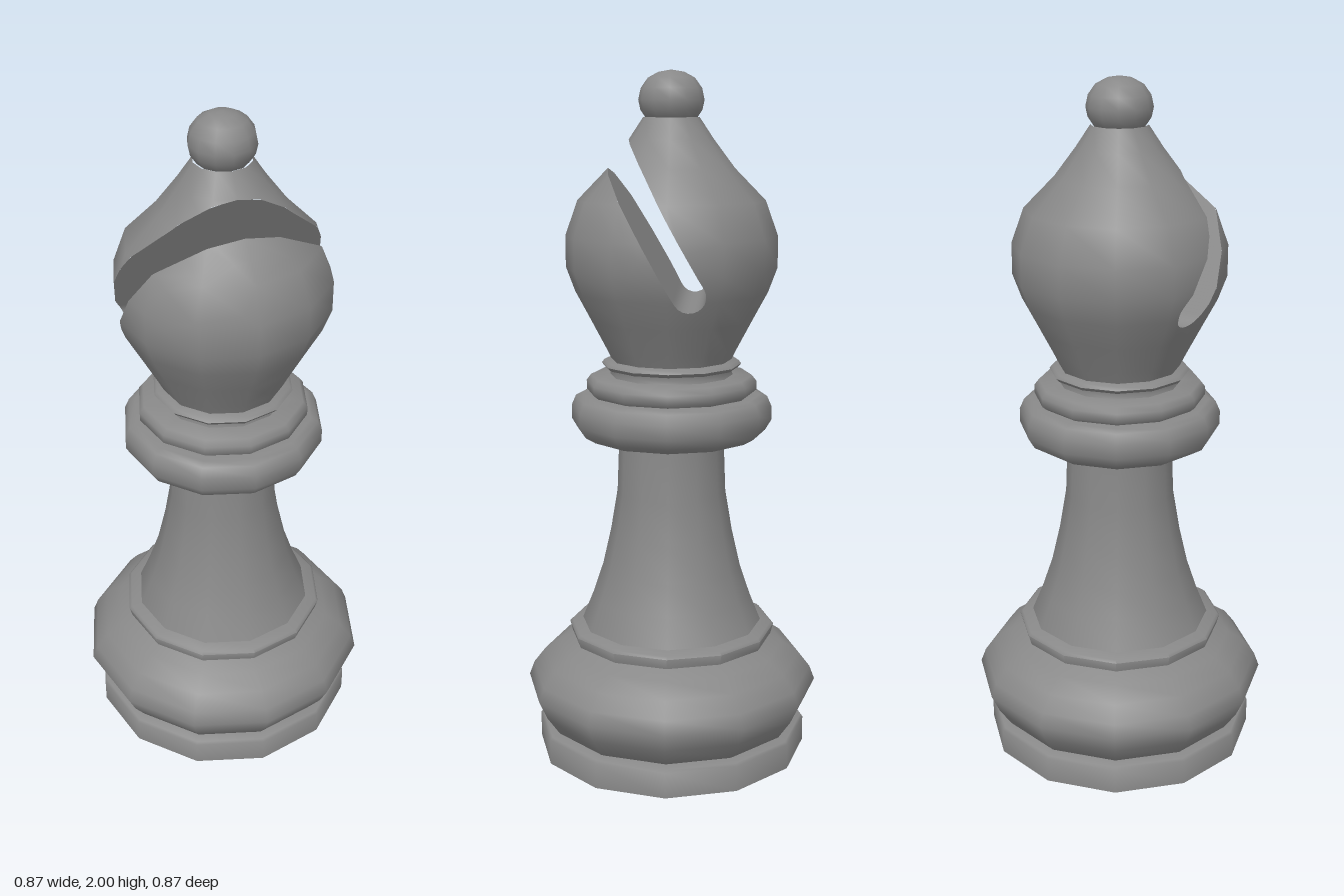
import * as THREE from 'three';
import { toCreasedNormals } from 'three/addons/utils/BufferGeometryUtils.js';

const SIDES = 12;
const grey = new THREE.MeshStandardMaterial({ color: 0x888888 });
grey.name = 'grey';

// Crease at a larger scale so that small mouldings are not merged.
function crease(geometry, angle) {
  geometry.scale(100, 100, 100);
  const g = toCreasedNormals(geometry, angle);
  return g.scale(0.01, 0.01, 0.01);
}

// Turned part from [radius, height] pairs, listed bottom to top.
function turned(profile, angle = 1.15) {
  const points = profile.map(([r, y]) => new THREE.Vector2(r, y));
  return crease(new THREE.LatheGeometry(points, SIDES), angle);
}

const headProfile = [
  [0.17, 1.175], [0.19, 1.215], [0.235, 1.3], [0.278, 1.38], [0.304, 1.45],
  [0.304, 1.54], [0.268, 1.64], [0.18, 1.73], [0.12, 1.81], [0.08, 1.87],
];

// Slot outline in (z, y): down the upper wall, round the end, up the lower wall.
const slotEnd = [-0.06, 1.395];
const slotDir = [0.489, 0.872];
const slotHalf = 0.0455;
const slotLength = 0.6;
const slotArc = [];
for (let i = 0; i <= 10; i++) {
  const a = Math.atan2(slotDir[1], slotDir[0]) + Math.PI / 2 + (Math.PI * i) / 10;
  slotArc.push([slotEnd[0] + slotHalf * Math.cos(a), slotEnd[1] + slotHalf * Math.sin(a)]);
}
const along = (p, t) => [p[0] + slotDir[0] * t, p[1] + slotDir[1] * t];
const slotOutline = [along(slotArc[0], slotLength), ...slotArc, along(slotArc[10], slotLength)];

// Part of a polygon on one side of an edge; vertices are [x, y, z, nx, ny, nz].
function clip(poly, p, q, sign) {
  const side = (v) => sign * ((q[0] - p[0]) * (v[1] - p[1]) - (q[1] - p[1]) * (v[2] - p[0]));
  const out = [];
  poly.forEach((a, i) => {
    const b = poly[(i + 1) % poly.length];
    const sa = side(a), sb = side(b);
    if (sa >= 0) out.push(a);
    if ((sa > 0 && sb < 0) || (sa < 0 && sb > 0)) {
      const t = sa / (sa - sb);
      out.push(a.map((n, k) => n + (b[k] - n) * t));
    }
  });
  return out;
}

// Head surface with the slot removed.
function slottedHead() {
  const source = turned(headProfile, 1.3);
  const P = source.attributes.position, N = source.attributes.normal;
  const positions = [], normals = [];
  const emit = (poly) => {
    for (let i = 1; i < poly.length - 1; i++) {
      for (const v of [poly[0], poly[i], poly[i + 1]]) {
        positions.push(v[0], v[1], v[2]);
        normals.push(v[3], v[4], v[5]);
      }
    }
  };
  for (let i = 0; i < P.count; i += 3) {
    let inside = [i, i + 1, i + 2].map((j) =>
      [P.getX(j), P.getY(j), P.getZ(j), N.getX(j), N.getY(j), N.getZ(j)]);
    for (let e = 0; e < slotOutline.length - 1 && inside.length > 2; e++) {
      emit(clip(inside, slotOutline[e], slotOutline[e + 1], -1));
      inside = clip(inside, slotOutline[e], slotOutline[e + 1], 1);
    }
  }
  const g = new THREE.BufferGeometry();
  g.setAttribute('position', new THREE.Float32BufferAttribute(positions, 3));
  g.setAttribute('normal', new THREE.Float32BufferAttribute(normals, 3));
  return g;
}

// Half width in x of the twelve-sided head at a given (z, y).
function headHalfWidth([z, y]) {
  const i = headProfile.findIndex((p) => p[1] >= y);
  if (i < 1) return 0;
  const [r0, y0] = headProfile[i - 1], [r1, y1] = headProfile[i];
  const apothem = (r0 + ((r1 - r0) * (y - y0)) / (y1 - y0)) * Math.cos(Math.PI / SIDES);
  const widths = [1, 3, 5].map((k) => {
    const a = (k * Math.PI) / SIDES;
    return (apothem - Math.abs(z) * Math.cos(a)) / Math.sin(a);
  });
  return Math.max(0, Math.min(...widths));
}

// Walls of the slot, spanning the head from side to side.
function slotWalls() {
  const steps = 60, path = [];
  for (let i = steps; i > 0; i--) path.push(along(slotArc[0], (slotLength * i) / steps));
  path.push(...slotArc);
  for (let i = 1; i <= steps; i++) path.push(along(slotArc[10], (slotLength * i) / steps));
  const positions = [];
  for (let i = 0; i < path.length - 1; i++) {
    const p = path[i], q = path[i + 1];
    const wp = headHalfWidth(p), wq = headHalfWidth(q);
    if (wp === 0 && wq === 0) continue;
    const a = [-wp, p[1], p[0]], b = [wp, p[1], p[0]];
    const c = [wq, q[1], q[0]], d = [-wq, q[1], q[0]];
    if (wp > 0) positions.push(...a, ...c, ...b);
    if (wq > 0) positions.push(...a, ...d, ...c);
  }
  const g = new THREE.BufferGeometry();
  g.setAttribute('position', new THREE.Float32BufferAttribute(positions, 3));
  return crease(g, 0.6);
}

export function createModel() {
  const model = new THREE.Group();
  model.name = 'bishopChessPiece';
  const add = (name, geometry) => {
    const mesh = new THREE.Mesh(geometry, grey);
    mesh.name = name;
    model.add(mesh);
  };

  // Foot
  add('plinth', turned([[0, 0], [0.402, 0], [0.402, 0.075], [0.395, 0.082], [0.34, 0.085]]));
  add('baseBulge', turned([
    [0.36, 0.083], [0.372, 0.09], [0.41, 0.145], [0.435, 0.2], [0.42, 0.24],
    [0.385, 0.285], [0.335, 0.32], [0.27, 0.348],
  ]));
  add('baseCollar', turned([[0.27, 0.345], [0.3, 0.345], [0.308, 0.375], [0.3, 0.382], [0.25, 0.392]]));

  // Stem
  add('stem', turned([
    [0.268, 0.388], [0.235, 0.47], [0.205, 0.56], [0.18, 0.67], [0.16, 0.79], [0.153, 0.97],
  ]));

  // Collars below the head
  add('lowerCollar', turned([
    [0.14, 0.957], [0.245, 0.957], [0.275, 0.975], [0.293, 1.005], [0.293, 1.045],
    [0.28, 1.075], [0.26, 1.083], [0.2, 1.085],
  ]));
  add('middleCollar', turned([
    [0.2, 1.08], [0.23, 1.08], [0.248, 1.095], [0.248, 1.12], [0.235, 1.137], [0.16, 1.14],
  ]));
  add('neck', turned([[0.18, 1.135], [0.175, 1.15], [0.18, 1.168]]));
  add('upperCollar', turned([[0.17, 1.16], [0.195, 1.162], [0.203, 1.172], [0.195, 1.182], [0.16, 1.186]]));

  // Head with its diagonal slot, and the finial on top
  add('head', slottedHead());
  add('slotWalls', slotWalls());
  add('finial', turned([
    [0, 1.862], [0.07, 1.865], [0.087, 1.89], [0.093, 1.918], [0.086, 1.95],
    [0.066, 1.978], [0.036, 1.994], [0, 2],
  ]));
  return model;
}
